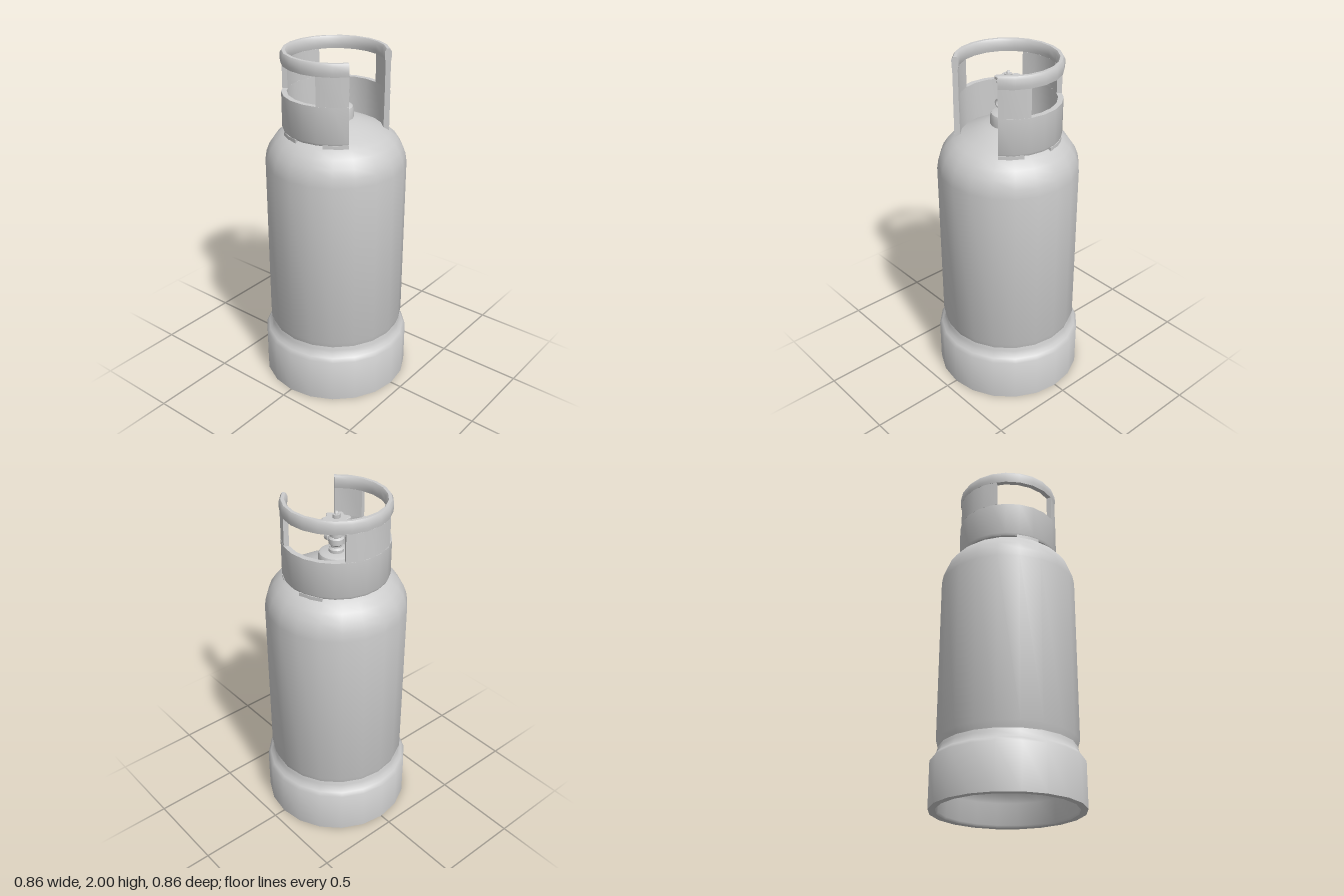
import * as THREE from 'three';
import { toCreasedNormals, mergeGeometries } from 'three/addons/utils/BufferGeometryUtils.js';

const grey = new THREE.MeshStandardMaterial({ color: 0xcccccc });
const sheet = new THREE.MeshStandardMaterial({ color: 0xcccccc, side: THREE.DoubleSide });
const deg = THREE.MathUtils.degToRad;
const points = (list) => list.map(([x, y]) => new THREE.Vector2(x, y));

function addMesh(parent, name, geometry, material = grey) {
  const mesh = new THREE.Mesh(geometry, material);
  mesh.name = name;
  parent.add(mesh);
  return mesh;
}

function turned(profile, sides) {
  return toCreasedNormals(new THREE.LatheGeometry(points(profile), sides), 0.75);
}

// Curved wall: a closed profile swept from angle a to b (0 is the front), with end caps
function arcWall(profile, a, b) {
  const sweep = new THREE.LatheGeometry(points([...profile, profile[0]]),
    Math.max(2, Math.round((b - a) / 17)), deg(a), deg(b - a));
  const caps = [a, b].map((angle) =>
    new THREE.ShapeGeometry(new THREE.Shape(points(profile))).rotateY(deg(angle - 90)));
  return toCreasedNormals(mergeGeometries([sweep, ...caps]), 0.7);
}

const wallProfile = (y0, y1) => [[0.267, y0], [0.296, y0], [0.296, y1], [0.267, y1]];

function buildCollar() {
  const collar = new THREE.Group();
  collar.name = 'guardCollar';
  const open = 38;

  // Rolled top rim
  addMesh(collar, 'collarRim', arcWall([
    [0.267, 1.93], [0.296, 1.93], [0.299, 1.95], [0.299, 1.985], [0.29, 2],
    [0.272, 2], [0.262, 1.985], [0.262, 1.95]], open, 360 - open), sheet);

  // Lower band, with slightly tucked bottom edge
  addMesh(collar, 'collarBand', arcWall([
    [0.265, 1.555], [0.29, 1.555], [0.297, 1.57], [0.297, 1.77], [0.267, 1.77]],
    open, 360 - open), sheet);

  // Posts leave a hand hole on each side; feet rest on the shoulder
  addMesh(collar, 'backPost', arcWall(wallProfile(1.77, 1.93), 149, 211), sheet);
  for (const side of [1, -1]) {
    const span = (a, b) => (side > 0 ? [a, b] : [360 - b, 360 - a]);
    const label = side > 0 ? 'left' : 'right';
    addMesh(collar, label + 'FrontPost', arcWall(wallProfile(1.77, 1.93), ...span(open, 72)), sheet);
    addMesh(collar, label + 'FrontFoot', arcWall(wallProfile(1.535, 1.56), ...span(open, 65)), sheet);
    addMesh(collar, label + 'RearFoot', arcWall(wallProfile(1.535, 1.56), ...span(98, 125)), sheet);
  }
  return collar;
}

function buildValve() {
  const valve = new THREE.Group();
  valve.name = 'valve';

  // Neck ring on top of the tank
  addMesh(valve, 'neckRing', turned([
    [0.1, 1.6], [0.1, 1.665], [0.094, 1.682], [0.08, 1.688], [0, 1.688]], 20));

  // Valve body and stem
  addMesh(valve, 'valveBody', turned([
    [0.042, 1.68], [0.042, 1.705], [0.03, 1.715], [0.03, 1.725], [0.042, 1.735],
    [0.042, 1.765], [0.03, 1.775], [0.037, 1.78], [0.037, 1.815], [0.018, 1.825],
    [0.018, 1.85], [0.026, 1.855], [0.026, 1.868], [0, 1.868]], 12));

  // Outlet facing the front
  addMesh(valve, 'outlet', turned([
    [0.02, 0], [0.02, 0.045], [0.026, 0.05], [0.026, 0.075],
    [0.016, 0.075], [0.016, 0.06], [0, 0.06]], 12)
    .rotateX(Math.PI / 2).translate(0, 1.752, 0));

  // Six-lobed handwheel
  const wheel = new THREE.Shape(Array.from({ length: 48 }, (_, i) => {
    const t = (i / 48) * Math.PI * 2;
    const r = 0.068 - 0.011 * Math.cos(6 * t);
    return new THREE.Vector2(r * Math.cos(t), r * Math.sin(t));
  }));
  const wheelGeometry = new THREE.ExtrudeGeometry(wheel, {
    depth: 0.012, bevelSize: 0.003, bevelThickness: 0.003, bevelOffset: -0.003, bevelSegments: 1 });
  addMesh(valve, 'handwheel', toCreasedNormals(wheelGeometry, 0.7)
    .rotateX(-Math.PI / 2).translate(0, 1.868, 0));

  // Nut and stem tip
  addMesh(valve, 'wheelNut', new THREE.CylinderGeometry(0.022, 0.022, 0.022, 6).translate(0, 1.893, 0));
  addMesh(valve, 'stemTip', turned([[0.01, 1.9], [0.01, 1.915], [0.006, 1.92], [0, 1.92]], 8));
  return valve;
}

export function createModel() {
  const model = new THREE.Group();
  model.name = 'gasCylinder';

  // Tank with rounded shoulder
  addMesh(model, 'tank', turned([
    [0.385, 0.32], [0.388, 0.35], [0.4, 0.38], [0.4, 1.36], [0.392, 1.41], [0.375, 1.455],
    [0.345, 1.5], [0.305, 1.535], [0.26, 1.56], [0.19, 1.592], [0.13, 1.615], [0, 1.635]], 20));

  // Foot skirt, hollow underneath
  addMesh(model, 'footSkirt', turned([
    [0, 0.3], [0.17, 0.29], [0.28, 0.26], [0.35, 0.21], [0.383, 0.14], [0.383, 0.012],
    [0.392, 0], [0.431, 0], [0.431, 0.262], [0.415, 0.283], [0.4, 0.298], [0.392, 0.325], [0.386, 0.35]], 20));

  model.add(buildCollar(), buildValve());
  return model;
}
